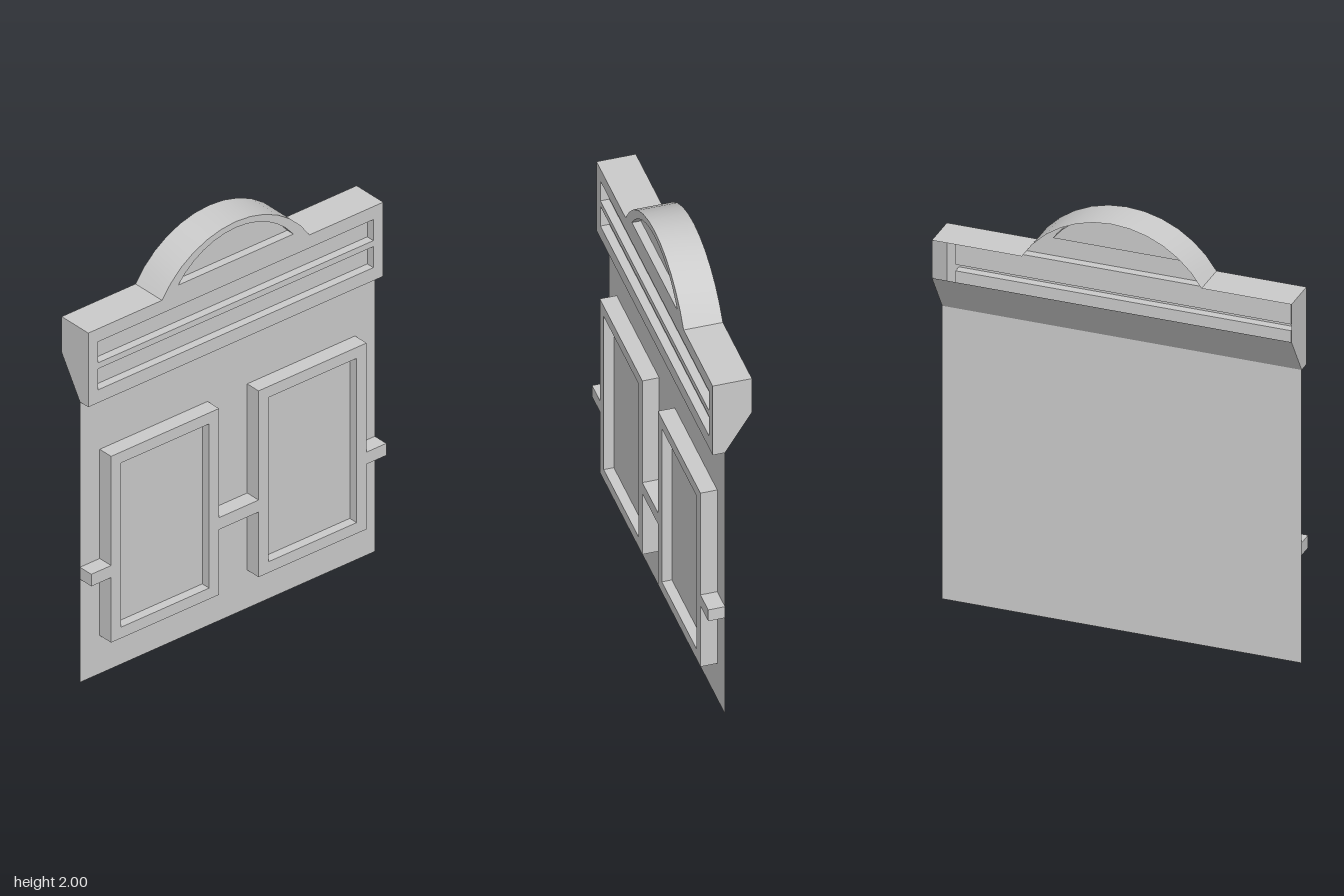
import * as THREE from 'three';
import { toCreasedNormals } from 'three/addons/utils/BufferGeometryUtils.js';

const material = new THREE.MeshStandardMaterial({ color: 0xcccccc, side: THREE.DoubleSide });
const HALF = 0.82, WALL = 0.02, BACK = -0.1, CORNICE = 0.075, FRAME = 0.095;

function add(parent, name, geometry) {
  const mesh = new THREE.Mesh(geometry, material);
  mesh.name = name;
  parent.add(mesh);
  return mesh;
}

const vec = (pts) => pts.map(([x, y]) => new THREE.Vector2(x, y));

// Open band: a polyline swept from depth d0 to d1
function band(pts, d0, d1, closed = false) {
  const pos = [];
  const count = closed ? pts.length : pts.length - 1;
  for (let i = 0; i < count; i++) {
    const [ax, ay] = pts[i], [bx, by] = pts[(i + 1) % pts.length];
    pos.push(ax, ay, d0, bx, by, d0, bx, by, d1, ax, ay, d0, bx, by, d1, ax, ay, d1);
  }
  const g = new THREE.BufferGeometry();
  g.setAttribute('position', new THREE.Float32BufferAttribute(pos, 3));
  return toCreasedNormals(g, Math.PI / 6);
}

function plate(pts, depth, holes = []) {
  const shape = new THREE.Shape(vec(pts));
  for (const h of holes) shape.holes.push(new THREE.Path(vec(h)));
  return new THREE.ShapeGeometry(shape).translate(0, 0, depth);
}

const rect = (x0, y0, x1, y1) => [[x0, y0], [x1, y0], [x1, y1], [x0, y1]];

// Arc through (half, base) and (0, top), from right to left
function arc(half, base, top, steps) {
  const h = top - base, r = (half * half + h * h) / (2 * h), cy = top - r;
  const a = Math.asin(half / r), pts = [];
  for (let i = 0; i <= steps; i++) {
    const t = a - (2 * a * i) / steps;
    pts.push([r * Math.sin(t), cy + r * Math.cos(t)]);
  }
  return pts;
}

// Recess: side walls plus a floor
function recess(parent, name, pts, front, floor) {
  add(parent, name + 'Sides', band([...pts].reverse(), floor, front, true));
  add(parent, name + 'Floor', plate(pts, floor));
}

export function createModel() {
  const model = new THREE.Group();
  model.name = 'facade';

  // Parts drawn in elevation, turned so their depth runs along +x
  const elevation = new THREE.Group();
  elevation.name = 'elevation';
  elevation.rotation.y = Math.PI / 2;
  model.add(elevation);

  add(elevation, 'wall', plate(rect(-HALF, 0, HALF, 1.4), WALL));

  // Window frames joined by a sill band
  const frames = new THREE.Group();
  frames.name = 'windowFrames';
  elevation.add(frames);
  const lower = [[-HALF, 0.515], [-0.71, 0.515], [-0.71, 0.19], [-0.11, 0.19], [-0.11, 0.515],
    [0.11, 0.515], [0.11, 0.19], [0.71, 0.19], [0.71, 0.515], [HALF, 0.515]];
  const upper = lower.map(([x, y]) => [-x, y < 0.5 ? 1.12 : 0.575]);
  const frameOutline = [...lower, ...upper];
  const windows = [-0.41, 0.41].map((c) => rect(c - 0.245, 0.245, c + 0.245, 1.065));
  add(frames, 'frameFace', plate(frameOutline, FRAME, windows));
  add(frames, 'frameEdge', band(frameOutline, WALL, FRAME, true));
  windows.forEach((w) => recess(frames, 'window', w, FRAME, 0.05));

  // Cornice with an arched crest and recessed panels, open at the back
  const cornice = new THREE.Group();
  cornice.name = 'cornice';
  elevation.add(cornice);
  const topLine = [[HALF, 1.77], ...arc(0.41, 1.77, 2, 12), [-HALF, 1.77]];
  const panels = [
    rect(-0.765, 1.465, 0.765, 1.57),
    rect(-0.765, 1.6, 0.765, 1.705),
    arc(0.32, 1.81, 1.97, 12),
  ];
  add(cornice, 'corniceFace', plate([[-HALF, 1.4], [HALF, 1.4], ...topLine], CORNICE, panels));
  add(cornice, 'corniceTop', band(topLine, BACK, CORNICE));
  panels.forEach((p) => recess(cornice, 'cornicePanel', p, CORNICE, 0.035));

  // Cornice underside and end caps, drawn in profile
  const under = [[BACK, 1.59], [WALL, 1.4], [CORNICE, 1.4]];
  add(model, 'corniceUnderside', band(under, -HALF, HALF));
  const profile = [...under, [CORNICE, 1.77], [BACK, 1.77]];
  add(model, 'corniceLeftEnd', plate(profile, HALF));
  add(model, 'corniceRightEnd', plate(profile, -HALF));

  return model;
}
